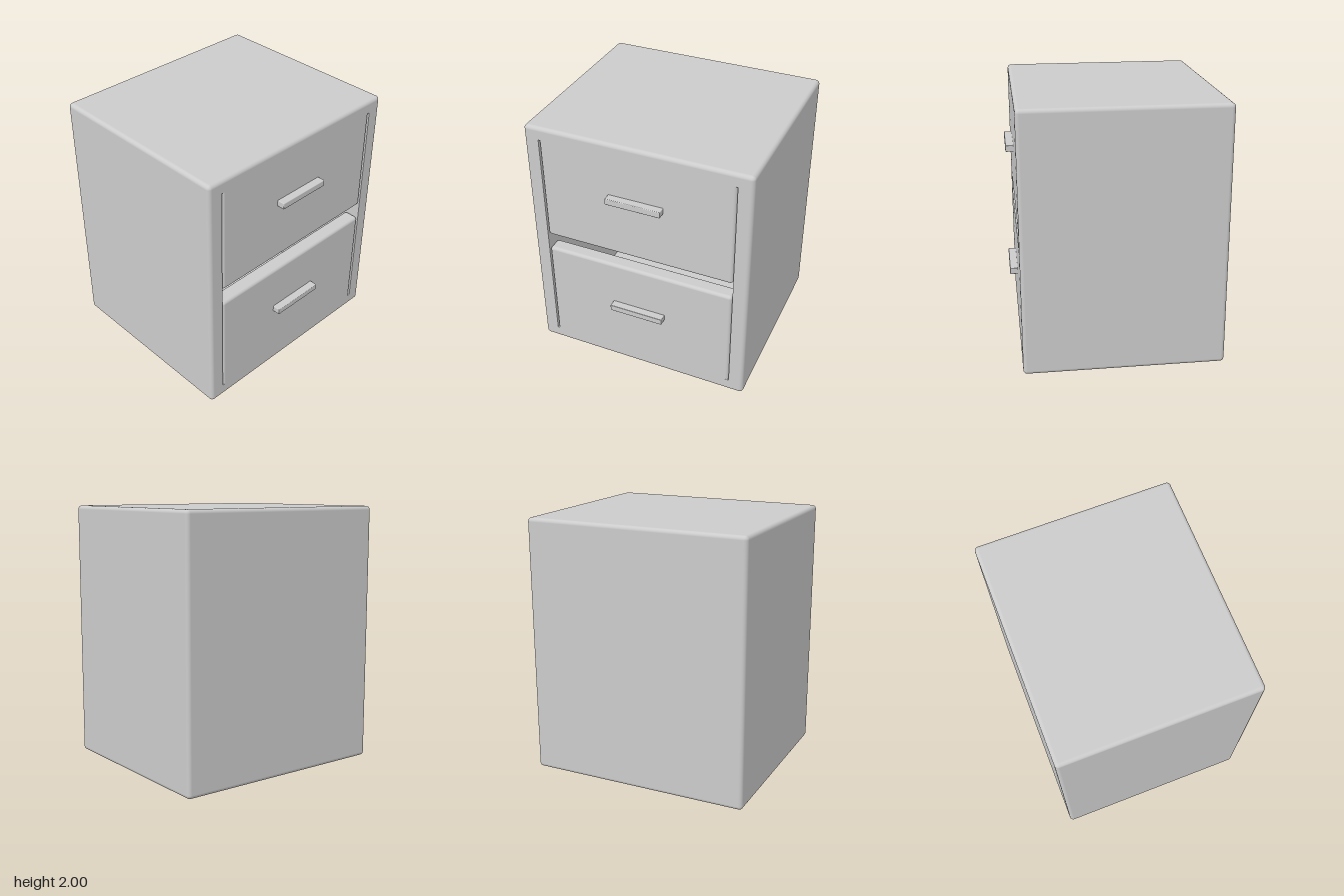
import * as THREE from 'three';
import { RoundedBoxGeometry } from 'three/addons/geometries/RoundedBoxGeometry.js';

const FRONT = 0.73, BACK = -0.79;
const HALF_W = 0.87, HEIGHT = 2, EDGE = 0.03;
const OPEN_W = 0.755, OPEN_LOW = 0.1, OPEN_HIGH = 1.9, INNER_BACK = -0.67;

// Drops the flat triangles lying in the plane z = FRONT
function openFront(geometry) {
  const g = geometry.index ? geometry.toNonIndexed() : geometry;
  const p = g.attributes.position, n = g.attributes.normal;
  const pos = [], nor = [];
  for (let i = 0; i < p.count; i += 3) {
    const corners = [i, i + 1, i + 2];
    if (corners.every((k) => Math.abs(p.getZ(k) - FRONT) < 1e-4)) continue;
    for (const k of corners) {
      pos.push(p.getX(k), p.getY(k), p.getZ(k));
      nor.push(n.getX(k), n.getY(k), n.getZ(k));
    }
  }
  const out = new THREE.BufferGeometry();
  out.setAttribute('position', new THREE.Float32BufferAttribute(pos, 3));
  out.setAttribute('normal', new THREE.Float32BufferAttribute(nor, 3));
  return out;
}

// Rectangle outline, used for the front face and its opening
function rectangle(path, halfW, low, high) {
  path.moveTo(-halfW, low);
  path.lineTo(halfW, low);
  path.lineTo(halfW, high);
  path.lineTo(-halfW, high);
  path.closePath();
  return path;
}

export function createModel() {
  const group = new THREE.Group();
  const grey = new THREE.MeshStandardMaterial({ color: 0xcccccc });

  const add = (name, geometry, parent = group) => {
    const mesh = new THREE.Mesh(geometry, grey);
    mesh.name = name;
    parent.add(mesh);
    return mesh;
  };

  // Rounded block between two heights and two depths
  const block = (halfW, low, high, back, front, radius) =>
    new RoundedBoxGeometry(halfW * 2, high - low, front - back, 4, radius)
      .translate(0, (low + high) / 2, (front + back) / 2);

  // Cabinet: rounded outer shell, front frame and hollow interior
  const cabinet = new THREE.Group();
  cabinet.name = 'cabinet';
  group.add(cabinet);
  add('outerShell', openFront(block(HALF_W, 0, HEIGHT, BACK, FRONT, EDGE)), cabinet);

  const frame = rectangle(new THREE.Shape(), HALF_W - EDGE, EDGE, HEIGHT - EDGE);
  frame.holes.push(rectangle(new THREE.Path(), OPEN_W, OPEN_LOW, OPEN_HIGH));
  add('frontFrame', new THREE.ShapeGeometry(frame).translate(0, 0, FRONT), cabinet);

  // Mirroring the box turns its faces inward
  const inside = new THREE.BoxGeometry(OPEN_W * 2, OPEN_HIGH - OPEN_LOW, FRONT - INNER_BACK)
    .scale(-1, 1, 1)
    .translate(0, (OPEN_LOW + OPEN_HIGH) / 2, (FRONT + INNER_BACK) / 2);
  inside.computeVertexNormals();
  add('interior', openFront(inside), cabinet);

  // Drawers: flush front panel, tucked into the frame, with a bar handle
  const drawers = [
    { name: 'upperDrawer', low: 1.065, high: 1.925, handleY: 1.555 },
    { name: 'lowerDrawer', low: 0.075, high: 0.94, handleY: 0.555 },
  ];
  for (const { name, low, high, handleY } of drawers) {
    const drawer = new THREE.Group();
    drawer.name = name;
    group.add(drawer);
    add('drawerFront', block(0.75, low, high, 0.61, FRONT, 0.025), drawer);
    add('handle', block(0.215, handleY - 0.025, handleY + 0.025, 0.71, 0.79, 0.006), drawer);
  }

  return group;
}
